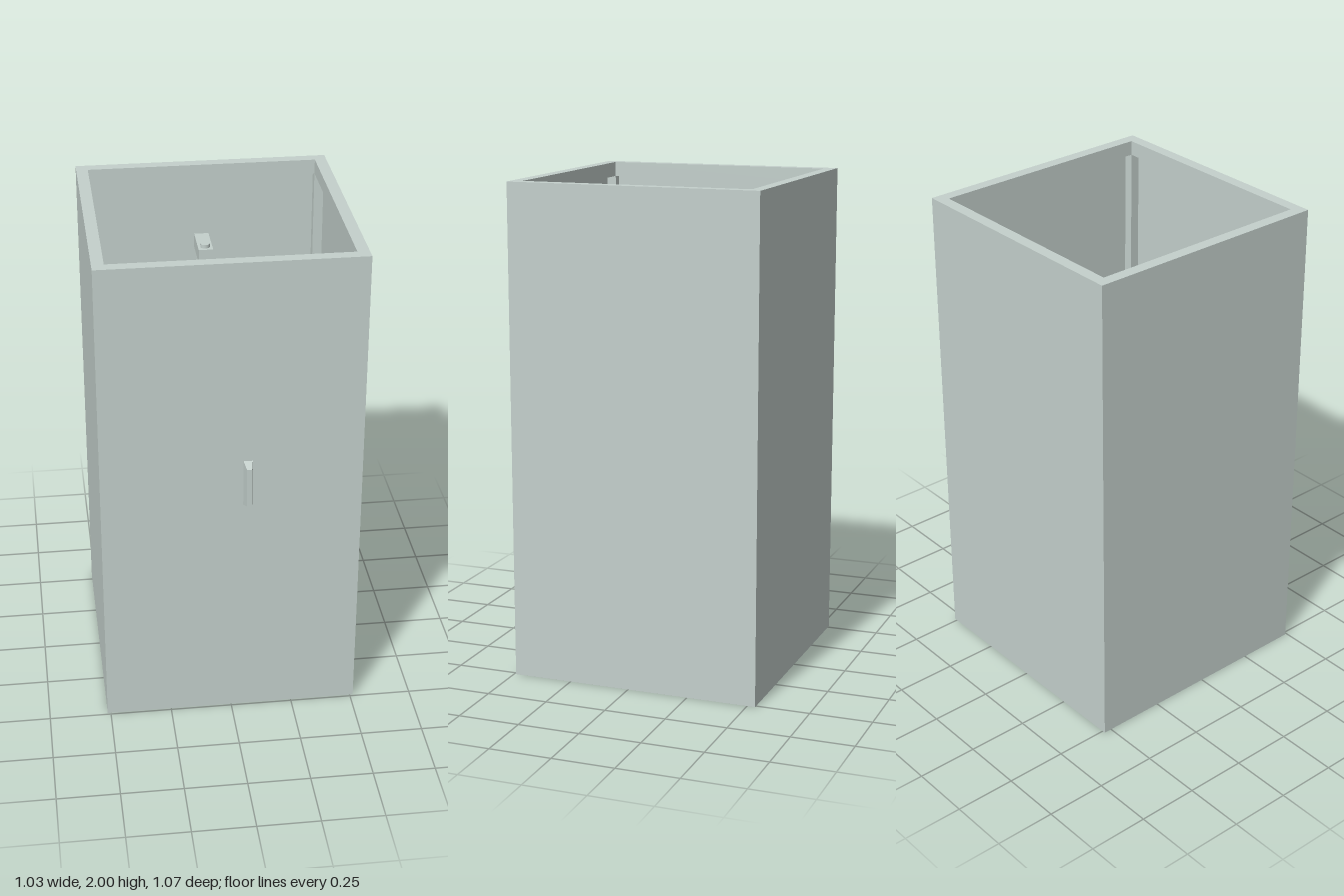
import * as THREE from 'three';

const X = 0.513, Z0 = -0.533, Z1 = 0.492; // outer footprint
const WALL = 0.047, PANEL = 0.008, RAIL = 0.06;
const TRAY_TOP = 0.1, BASIN = 0.03;

export function createModel() {
  const group = new THREE.Group();
  const mat = new THREE.MeshStandardMaterial({ color: 0xc4d0cc });
  mat.name = 'pale grey green';

  const add = (name, geo, x = 0, y = 0, z = 0, parent = group) => {
    const mesh = new THREE.Mesh(geo, mat);
    mesh.name = name;
    mesh.position.set(x, y, z);
    parent.add(mesh);
    return mesh;
  };
  // Box given by its limits
  const box = (name, x0, x1, y0, y1, z0, z1, parent) =>
    add(name, new THREE.BoxGeometry(x1 - x0, y1 - y0, z1 - z0),
      (x0 + x1) / 2, (y0 + y1) / 2, (z0 + z1) / 2, parent);
  // Box whose +z end is narrowed
  const taperedBox = (w, h, d, sx, sy) => {
    const g = new THREE.BoxGeometry(w, h, d);
    const p = g.attributes.position;
    for (let i = 0; i < p.count; i++) {
      if (p.getZ(i) > 0) p.setXY(i, p.getX(i) * sx, p.getY(i) * sy);
    }
    const flat = g.toNonIndexed();
    flat.computeVertexNormals();
    return flat;
  };
  // Footprint rectangle, inset on all sides, as (x, z) points
  const rect = (i) => [[-X + i, Z0 + i], [X - i, Z0 + i], [X - i, Z1 - i], [-X + i, Z1 - i]];
  const toVec = (pts) => pts.map(([x, z]) => new THREE.Vector2(x, z));
  // Upright prism between two heights, with an optional hole
  const prism = (name, outline, hole, y0, y1) => {
    const shape = new THREE.Shape(toVec(outline));
    if (hole) shape.holes.push(new THREE.Path(toVec(hole)));
    const g = new THREE.ExtrudeGeometry(shape, { depth: y1 - y0, bevelEnabled: false });
    g.rotateX(Math.PI / 2);
    return add(name, g, 0, y1, 0);
  };

  // Cabin: thin wall panels, a top frame and corner posts
  prism('wallPanels', rect(0), rect(PANEL), 0, 2 - RAIL);
  prism('topFrame', rect(0), rect(WALL), 2 - RAIL, 2);
  const t = WALL - PANEL;
  for (const s of [-1, 1]) {
    const cx = s * (X - PANEL - t / 2);
    for (const cz of [Z0 + PANEL + t / 2, Z1 - PANEL - t / 2]) {
      add('cornerPost', new THREE.BoxGeometry(t, 2 - RAIL - TRAY_TOP, t),
        cx, (2 - RAIL + TRAY_TOP) / 2, cz);
    }
  }

  // Shower tray with a sloped basin and one cut corner
  const upper = [[-0.418, -0.436], [0.19, -0.436], [0.415, -0.21], [0.415, 0.397], [-0.418, 0.397]];
  const lower = [[-0.388, -0.408], [0.178, -0.408], [0.386, -0.2], [0.386, 0.367], [-0.388, 0.367]];
  prism('trayFloor', rect(PANEL), null, 0, BASIN);
  prism('trayRim', rect(PANEL), upper, BASIN, TRAY_TOP);
  const verts = [];
  upper.forEach(([ax, az], i) => {
    const j = (i + 1) % upper.length;
    const a = [ax, TRAY_TOP, az], b = [upper[j][0], TRAY_TOP, upper[j][1]];
    const c = [lower[i][0], BASIN, lower[i][1]], d = [lower[j][0], BASIN, lower[j][1]];
    verts.push(...a, ...c, ...b, ...b, ...c, ...d);
  });
  const slope = new THREE.BufferGeometry();
  slope.setAttribute('position', new THREE.Float32BufferAttribute(verts, 3));
  slope.computeVertexNormals();
  add('basinSlope', slope);

  // Door handle
  add('doorHandle', taperedBox(0.036, 0.196, 0.041, 0.55, 0.84), 0.062, 1.067, 0.5125);

  // Mixer tap on the back wall
  const back = Z0 + PANEL;
  const tap = new THREE.Group();
  tap.name = 'mixerTap';
  group.add(tap);
  box('tapPlate', -0.058, 0.058, 0.97, 1.07, back, -0.466, tap);
  box('tapBody', -0.12, 0.12, 0.99, 1.05, -0.466, -0.408, tap);
  for (const s of [-1, 1]) {
    const stem = add('tapStem', new THREE.CylinderGeometry(0.02, 0.02, 0.02, 16), s * 0.125, 1.02, -0.437, tap);
    stem.rotation.z = Math.PI / 2;
    add('tapKnob', new THREE.BoxGeometry(0.024, 0.06, 0.058), s * 0.142, 1.02, -0.437, tap);
  }

  // Wall bracket with hose pin
  box('showerBracket', -0.03, 0.03, 1.62, 1.68, back, -0.355);
  add('bracketPin', new THREE.CylinderGeometry(0.02, 0.02, 0.1, 20), 0, 1.645, -0.388);

  // Hand shower, rising slightly towards the front
  const hand = new THREE.Group();
  hand.name = 'handShower';
  hand.position.set(0, 1.595, -0.37);
  hand.rotation.x = -0.3;
  group.add(hand);
  box('showerHandle', -0.03, 0.03, -0.02, 0.02, 0, 0.19, hand);
  box('showerHead', -0.065, 0.065, -0.05, -0.005, 0.1, 0.225, hand);
  return group;
}
